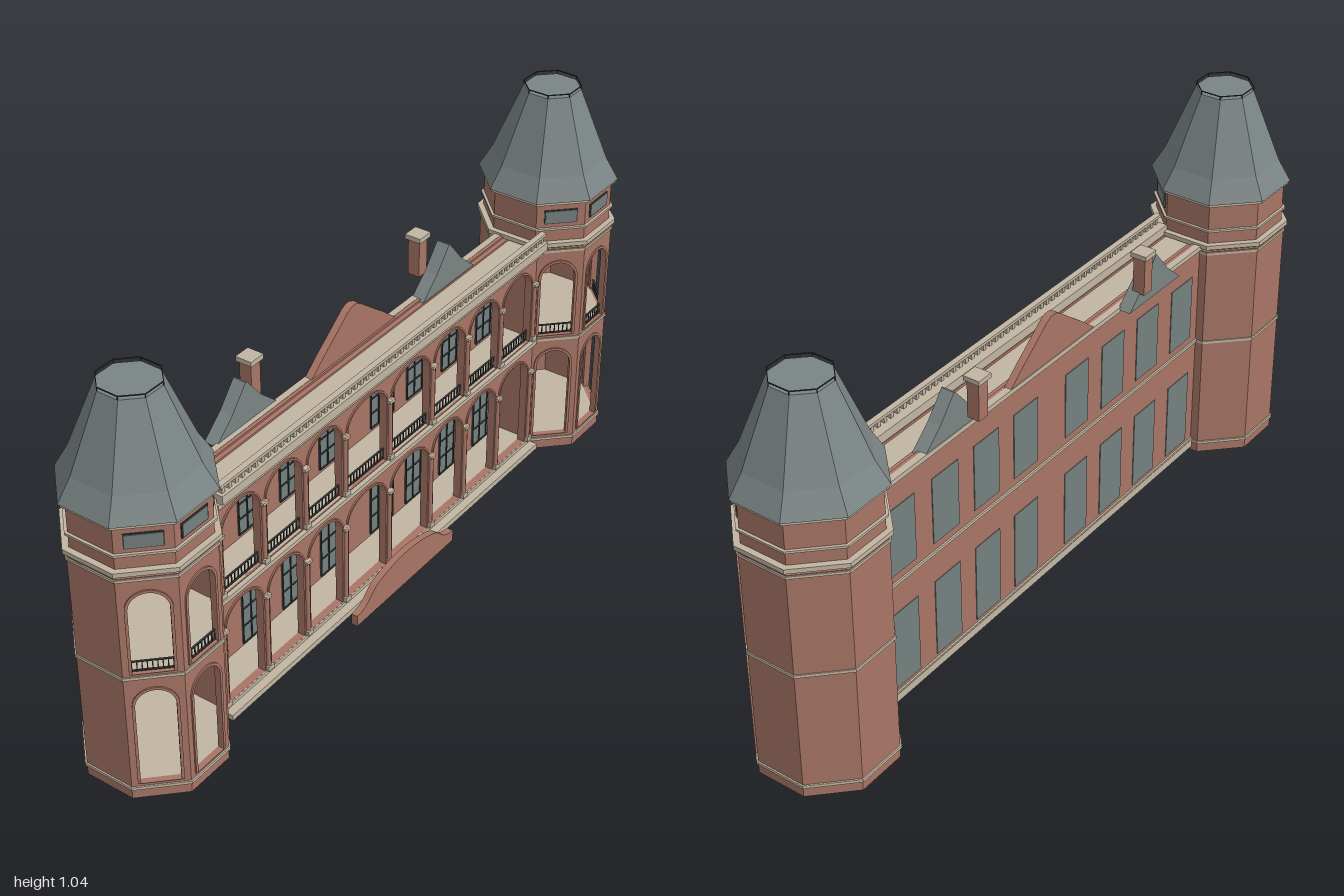
import * as THREE from 'three';
import { mergeGeometries } from 'three/addons/utils/BufferGeometryUtils.js';

const mat = (name, color) => {
  const m = new THREE.MeshStandardMaterial({ color });
  m.name = name;
  return m;
};

export function createModel() {
  const brick = mat('brick', 0xa87565);
  const stone = mat('stone', 0xc2b6a2);
  const slate = mat('slate', 0x7b8484);
  const glass = mat('glass', 0x74807f);
  const iron = mat('iron', 0x363b3c);

  const root = new THREE.Group();
  root.name = 'building';

  const add = (parent, name, geo, material, x = 0, y = 0, z = 0) => {
    const m = new THREE.Mesh(geo, material);
    m.name = name;
    m.position.set(x, y, z);
    parent.add(m);
    return m;
  };
  // box given by its limits
  const boxGeo = (x0, x1, y0, y1, z0, z1) =>
    new THREE.BoxGeometry(x1 - x0, y1 - y0, z1 - z0)
      .translate((x0 + x1) / 2, (y0 + y1) / 2, (z0 + z1) / 2);
  const box = (parent, name, material, ...b) => add(parent, name, boxGeo(...b), material);

  // flat-sided octagonal drum, sized by the distance from centre to side
  const octGeo = (top, bottom, y0, y1) => {
    const k = 1 / Math.cos(Math.PI / 8);
    const g = new THREE.CylinderGeometry(top * k, bottom * k, y1 - y0, 8, 1, false, Math.PI / 8)
      .translate(0, (y0 + y1) / 2, 0).toNonIndexed();
    g.computeVertexNormals();
    return g;
  };

  const rect = (x0, x1, y0, y1) => new THREE.Shape([
    new THREE.Vector2(x0, y0), new THREE.Vector2(x1, y0),
    new THREE.Vector2(x1, y1), new THREE.Vector2(x0, y1)]);
  // round-headed outline
  const arch = (cx, w, y0, spring, top, P = THREE.Path) => {
    const p = new P();
    p.moveTo(cx - w / 2, y0);
    p.lineTo(cx + w / 2, y0);
    p.lineTo(cx + w / 2, spring);
    p.absellipse(cx, spring, w / 2, top - spring, 0, Math.PI, false);
    p.closePath();
    return p;
  };
  const extrude = (shape, depth) =>
    new THREE.ExtrudeGeometry(shape, { depth, bevelEnabled: false, curveSegments: 10 });
  const archTrim = (cx, w, y0, spring, top, e) => {
    const s = arch(cx, w + 2 * e, y0, spring, top + e, THREE.Shape);
    s.holes.push(arch(cx, w, y0 + 0.0005, spring, top));
    return extrude(s, 0.004);
  };
  // row of upright bars between two rails
  const railGeo = (x0, x1, y0, y1, step, t) => {
    const n = Math.round((x1 - x0) / step);
    const list = [boxGeo(x0, x1, y1 - t, y1, -t, t), boxGeo(x0, x1, y0, y0 + t, -t, t)];
    for (let i = 0; i <= n; i++) {
      const x = x0 + (x1 - x0) * i / n;
      list.push(boxGeo(x - t / 2, x + t / 2, y0, y1, -t / 2, t / 2));
    }
    return mergeGeometries(list);
  };

  // ---------- corner towers ----------
  const A = 0.163, SIDE = 2 * A * Math.tan(Math.PI / 8), T = 0.013;
  const tower = (x, name) => {
    const g = new THREE.Group();
    g.name = name;
    g.position.x = x;
    root.add(g);
    add(g, 'towerBase', octGeo(A - 0.001, A - 0.001, 0, 0.04), brick);
    add(g, 'lowerFloor', octGeo(A - T, A - T, 0.04, 0.046), stone);
    add(g, 'upperFloorSlab', octGeo(A - 0.002, A - 0.002, 0.34, 0.368), brick);
    add(g, 'upperFloor', octGeo(A - T, A - T, 0.368, 0.373), stone);
    add(g, 'attic', octGeo(0.156, 0.156, 0.625, 0.78), brick);
    // string courses and cornices
    [[0.167, 0.028, 0.036], [0.166, 0.356, 0.364], [0.166, 0.631, 0.638],
      [0.171, 0.65, 0.662], [0.163, 0.697, 0.703], [0.167, 0.774, 0.782]]
      .forEach(([a, y0, y1]) => add(g, 'towerBand', octGeo(a, a, y0, y1), stone));
    // steep roof with flared eaves
    add(g, 'roofEaves', octGeo(0.14, 0.171, 0.782, 0.84), slate);
    add(g, 'roofSlope', octGeo(0.069, 0.14, 0.84, 1.03), slate);

    for (let k = 0; k < 8; k++) {
      const f = new THREE.Group();
      f.name = 'towerFace';
      f.rotation.y = k * Math.PI / 4;
      g.add(f);
      const open = k === 0 || k === 1 || k === 7;
      const wall = rect(-SIDE / 2, SIDE / 2, 0, 0.64);
      if (open) {
        wall.holes.push(arch(0, 0.092, 0.046, 0.277, 0.323));
        wall.holes.push(arch(0, 0.092, 0.373, 0.552, 0.598));
      }
      add(f, 'towerWall', extrude(wall, T), brick, 0, 0, A - T);
      if (open) {
        add(f, 'archTrim', archTrim(0, 0.092, 0.046, 0.277, 0.323, 0.007), brick, 0, 0, A);
        add(f, 'archTrim', archTrim(0, 0.092, 0.373, 0.552, 0.598, 0.007), brick, 0, 0, A);
        add(f, 'towerRailing', railGeo(-0.046, 0.046, 0.376, 0.404, 0.0115, 0.0025), iron, 0, 0, A - 0.006);
        box(f, 'atticWindowFrame', iron, -0.044, 0.044, 0.714, 0.754, 0.155, 0.158);
        box(f, 'atticWindow', glass, -0.041, 0.041, 0.717, 0.751, 0.155, 0.16);
      }
      // thin crest railing
      box(f, 'crestRail', iron, -0.029, 0.029, 1.038, 1.0405, 0.068, 0.07);
      box(f, 'crestPost', iron, 0.027, 0.029, 1.03, 1.04, 0.068, 0.07);
    }
  };
  tower(-0.829, 'rightTower');
  tower(0.829, 'leftTower');

  // ---------- main block ----------
  const W = 0.672;
  box(root, 'baseSlab', stone, -W, W, 0.012, 0.04, -0.05, 0.08);
  box(root, 'baseStep', stone, -W, W, 0.014, 0.03, 0.08, 0.103);
  box(root, 'rearWall', brick, -W, W, 0.03, 0.655, -0.045, -0.025);
  box(root, 'rearBaseBand', stone, -W, W, 0.028, 0.036, -0.051, -0.045);
  box(root, 'rearMiddleBand', stone, -W, W, 0.356, 0.364, -0.05, -0.045);
  box(root, 'rearCornice', stone, -W, W, 0.643, 0.656, -0.052, -0.034);
  box(root, 'balconySlab', brick, -W, W, 0.338, 0.366, -0.026, 0.072);
  box(root, 'balconyFloor', stone, -W, W, 0.366, 0.371, -0.026, 0.074);
  box(root, 'balconyCornice', stone, -W, W, 0.354, 0.366, 0.07, 0.086);
  box(root, 'flatRoof', stone, -W, W, 0.632, 0.645, -0.012, 0.09);
  box(root, 'roofEdge', brick, -W, W, 0.62, 0.65, -0.03, -0.012);
  box(root, 'friezeBand', stone, -W, W, 0.622, 0.63, 0.07, 0.082);
  box(root, 'frieze', brick, -W, W, 0.63, 0.652, 0.06, 0.079);
  box(root, 'mainCornice', stone, -W, W, 0.652, 0.676, 0.062, 0.103);
  // roof balustrade
  const posts = [boxGeo(-W, W, 0.693, 0.701, 0.082, 0.098)];
  for (let i = 0; i <= 56; i++) {
    const x = -0.658 + 1.316 * i / 56;
    posts.push(boxGeo(x - 0.005, x + 0.005, 0.675, 0.694, 0.085, 0.095));
  }
  add(root, 'roofBalustrade', mergeGeometries(posts), stone);

  // ---------- arcade ----------
  const piers = [-0.66, -0.5, -0.342, -0.185, 0, 0.185, 0.342, 0.5, 0.66];
  const arcade = rect(-W, W, 0.036, 0.635);
  const storeys = [[0.041, 0.272, 0.325], [0.371, 0.548, 0.602]];
  for (let i = 0; i < 8; i++) {
    const cx = (piers[i] + piers[i + 1]) / 2, w = piers[i + 1] - piers[i] - 0.026;
    for (const [y0, spring, top] of storeys) {
      arcade.holes.push(arch(cx, w, y0, spring, top));
      add(root, 'arcadeTrim', archTrim(cx, w, y0, spring, top, 0.005), brick, 0, 0, 0.073);
    }
    add(root, 'balconyRailing', railGeo(cx - w / 2, cx + w / 2, 0.374, 0.404, 0.0125, 0.0025), iron, 0, 0, 0.066);
  }
  add(root, 'arcadeWall', extrude(arcade, 0.018), brick, 0, 0, 0.055);
  for (const x of piers) for (const [y0, spring] of storeys) {
    const h = spring - y0;
    add(root, 'column', new THREE.CylinderGeometry(0.007, 0.007, h, 8), brick, x, y0 + h / 2, 0.077);
    box(root, 'columnBase', stone, x - 0.01, x + 0.01, y0, y0 + 0.013, 0.07, 0.086);
    box(root, 'columnCapital', stone, x - 0.01, x + 0.01, spring - 0.008, spring, 0.07, 0.086);
  }

  // ---------- windows ----------
  for (const x of [-0.585, -0.423, -0.265, -0.107, 0.107, 0.265, 0.423, 0.585]) {
    for (const [y0, y1] of [[0.05, 0.262], [0.385, 0.562]]) {
      box(root, 'frontWindow', glass, x - 0.049, x + 0.049, y0, y1, -0.026, -0.022);
      const bars = [];
      for (const dx of [-0.049, -0.017, 0.017, 0.049])
        bars.push(boxGeo(x + dx - 0.0015, x + dx + 0.0015, y0, y1, -0.023, -0.019));
      for (let r = 0; r <= 4; r++) {
        const y = y0 + (y1 - y0) * r / 4;
        bars.push(boxGeo(x - 0.05, x + 0.05, y - 0.0015, y + 0.0015, -0.023, -0.019));
      }
      add(root, 'windowBars', mergeGeometries(bars), iron);
      box(root, 'rearWindow', glass, x - 0.049, x + 0.049, y0, y1 + 0.01, -0.047, -0.044);
    }
  }

  // ---------- entrance parapet ----------
  const par = new THREE.Shape();
  par.moveTo(-0.213, 0);
  par.lineTo(0.213, 0);
  par.lineTo(0.213, 0.032);
  par.bezierCurveTo(0.15, 0.035, 0.16, 0.075, 0.105, 0.085);
  par.quadraticCurveTo(0.05, 0.1, 0, 0.1);
  par.quadraticCurveTo(-0.05, 0.1, -0.105, 0.085);
  par.bezierCurveTo(-0.16, 0.075, -0.15, 0.035, -0.213, 0.032);
  add(root, 'entranceParapet', extrude(par, 0.018), brick, 0, 0, 0.114);

  // ---------- roof features ----------
  const profile = pts => {
    const left = pts.map(([x, y]) => new THREE.Vector2(-x, y));
    const right = pts.map(([x, y]) => new THREE.Vector2(x, y)).reverse();
    return new THREE.Shape([...left, ...right].reverse());
  };
  add(root, 'gable', extrude(profile([[0.178, 0.65], [0.12, 0.698], [0.09, 0.72], [0.025, 0.77], [0.008, 0.778]]), 0.02),
    brick, 0, 0, -0.05);
  const dormer = [[0.114, 0.65], [0.055, 0.702], [0.002, 0.766]];
  add(root, 'rightDormer', extrude(profile(dormer), 0.036), slate, -0.395, 0, -0.083);
  add(root, 'leftDormer', extrude(profile(dormer), 0.036), slate, 0.385, 0, -0.05);
  for (const x of [-0.342, 0.337]) {
    box(root, 'chimney', brick, x - 0.017, x + 0.017, 0.685, 0.79, -0.095, -0.061);
    box(root, 'chimneyCap', stone, x - 0.023, x + 0.023, 0.787, 0.8, -0.101, -0.055);
  }
  return root;
}
